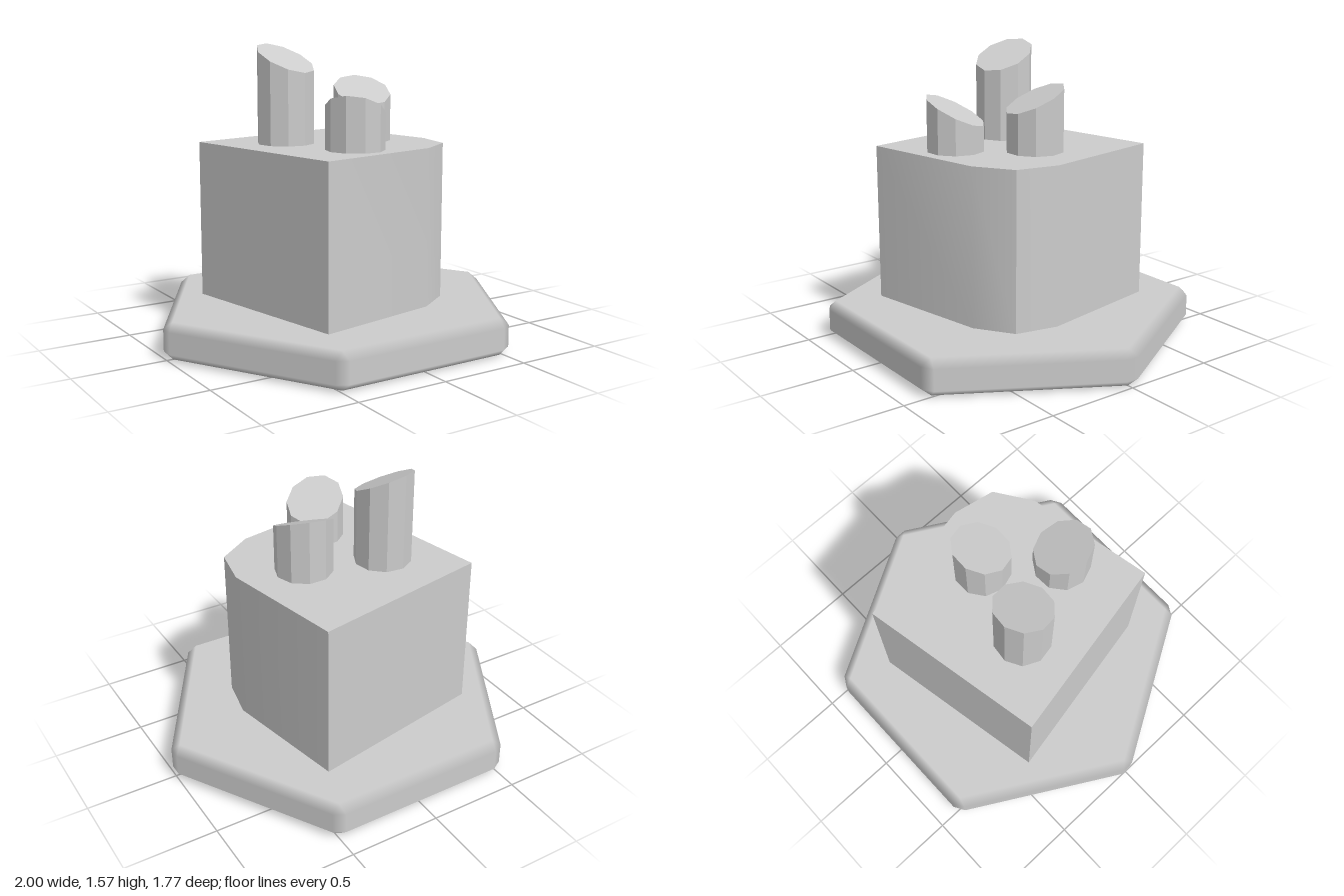
import * as THREE from 'three';
import { toCreasedNormals } from 'three/addons/utils/BufferGeometryUtils.js';

const deg = THREE.MathUtils.degToRad;
const smooth = new THREE.MeshStandardMaterial({ color: 0xcccccc });
const faceted = new THREE.MeshStandardMaterial({ color: 0xcccccc, flatShading: true });

// Hexagonal slab with bevelled rims; flats keep their own normals, bevels blend between them.
function bevelledHexagon(radius, bevel, height, rim) {
  const position = [], normal = [], index = [];
  const rings = [
    { y: 0, out: 0, up: -1 },
    { y: rim, out: bevel, up: 0 },
    { y: height - rim, out: bevel, up: 0 },
    { y: height, out: 0, up: 1 },
  ];
  for (const { y, out, up } of rings) {
    for (let i = 0; i < 6; i++) {
      for (const side of [-1, 1]) {
        const a = deg(60 * i), n = a + side * deg(30);
        const r = radius + out, t = side * out;
        position.push(r * Math.cos(a) - t * Math.sin(a), y, r * Math.sin(a) + t * Math.cos(a));
        normal.push(up ? 0 : Math.cos(n), up, up ? 0 : Math.sin(n));
      }
    }
  }
  for (let k = 0; k < 3; k++) {
    for (let i = 0; i < 12; i++) {
      const a = k * 12 + i, b = k * 12 + (i + 1) % 12;
      index.push(a, a + 12, b, b, a + 12, b + 12);
    }
  }
  // Bottom and top caps
  for (let i = 2; i < 10; i += 2) {
    index.push(0, i, i + 2, 36, 36 + i + 2, 36 + i);
  }
  const geometry = new THREE.BufferGeometry();
  geometry.setAttribute('position', new THREE.Float32BufferAttribute(position, 3));
  geometry.setAttribute('normal', new THREE.Float32BufferAttribute(normal, 3));
  geometry.setIndex(index);
  return geometry;
}

// Ten-sided post whose top is cut by a sloping plane.
function slantedPost({ x, z, top, slopeX, slopeZ, turn }) {
  const geometry = new THREE.CylinderGeometry(0.155, 0.155, 1, 10, 1, false, deg(turn));
  const p = geometry.attributes.position;
  for (let i = 0; i < p.count; i++) {
    p.setY(i, p.getY(i) > 0 ? top + slopeX * p.getX(i) + slopeZ * p.getZ(i) : 1.04);
  }
  geometry.translate(x, 0, z);
  geometry.computeVertexNormals();
  return geometry;
}

export function createModel() {
  const model = new THREE.Group();
  const add = (name, geometry, material) => {
    const mesh = new THREE.Mesh(geometry, material);
    mesh.name = name;
    model.add(mesh);
  };

  // Hexagonal base
  add('base', bevelledHexagon(0.965, 0.035, 0.195, 0.04), smooth);

  // Turned block with one cut-off corner, outline given as x, z
  const outline = [[-0.6, -0.41], [-0.405, 0.595], [0.295, 0.46], [0.49, 0.33], [0.535, 0.1], [0.4, -0.6]];
  const shape = new THREE.Shape(outline.map(([x, z]) => new THREE.Vector2(x, -z)));
  const block = new THREE.ExtrudeGeometry(shape, { depth: 0.855, bevelEnabled: false });
  block.rotateX(-Math.PI / 2).translate(0, 0.19, 0);
  add('block', toCreasedNormals(block, deg(30)), smooth);

  // Three posts with slanted tops
  const posts = {
    tallPost: { x: -0.225, z: -0.12, top: 1.5, slopeX: -0.16, slopeZ: -0.45, turn: 11 },
    leftPost: { x: 0.195, z: -0.013, top: 1.322, slopeX: 0.12, slopeZ: -0.44, turn: 18 },
    frontPost: { x: -0.065, z: 0.313, top: 1.257, slopeX: -0.36, slopeZ: 0.34, turn: 21 },
  };
  for (const [name, post] of Object.entries(posts)) add(name, slantedPost(post), faceted);

  return model;
}
